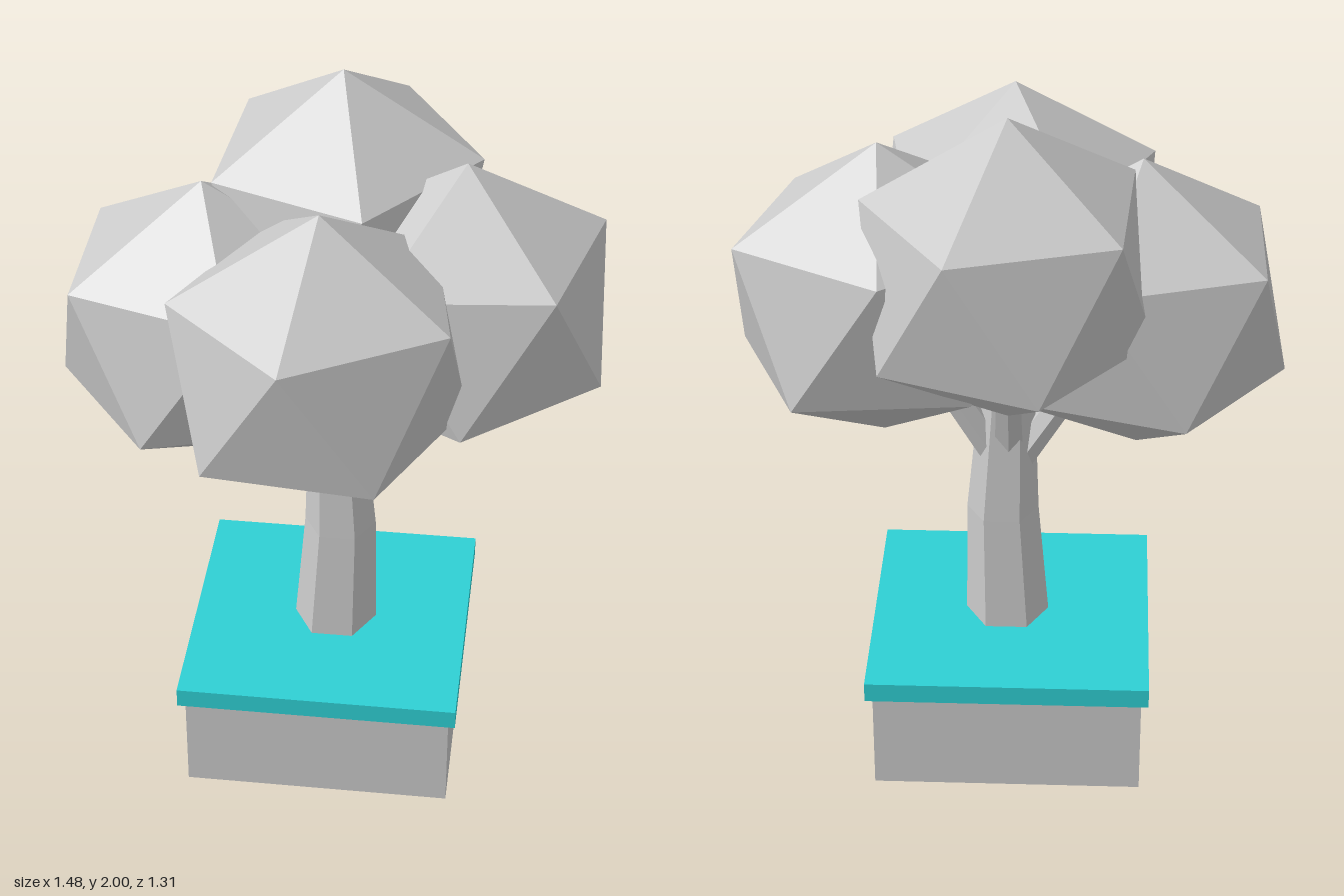
import * as THREE from 'three';

const grey = new THREE.MeshStandardMaterial({ name: 'paleGrey', color: 0xcacaca, flatShading: true });
const teal = new THREE.MeshStandardMaterial({ name: 'teal', color: 0x2ed0d4, flatShading: true });

function addMesh(group, name, geometry, material) {
  const mesh = new THREE.Mesh(geometry, material);
  mesh.name = name;
  group.add(mesh);
  return mesh;
}

// Six-sided trunk: each ring is [y, radius, centre x, centre z]
function trunkGeometry(rings) {
  const geo = new THREE.CylinderGeometry(1, 1, 1, 6, rings.length - 1);
  geo.rotateY(Math.PI / 6);
  const p = geo.attributes.position;
  for (let i = 0; i < p.count; i++) {
    const [y, r, cx, cz] = rings[Math.round((p.getY(i) + 0.5) * (rings.length - 1))];
    p.setXYZ(i, cx + p.getX(i) * r, y, cz + p.getZ(i) * r);
  }
  geo.computeVertexNormals();
  return geo;
}

// Icosahedron standing on a point, slightly longer along x
function crownGeometry(radius) {
  const geo = new THREE.IcosahedronGeometry(radius, 0);
  geo.rotateX(-Math.atan((1 + Math.sqrt(5)) / 2));
  geo.rotateY(Math.PI / 2);
  geo.scale(1.045, 1, 0.99);
  return geo;
}

export function createModel() {
  const tree = new THREE.Group();
  tree.name = 'pottedTree';

  // Planter box and its overhanging lid
  addMesh(tree, 'planter', new THREE.BoxGeometry(0.75, 0.296, 0.75), grey).position.set(0.006, 0.148, -0.015);
  addMesh(tree, 'planterLid', new THREE.BoxGeometry(0.79, 0.057, 0.79), teal).position.set(0.006, 0.3245, -0.015);

  // Gently bent trunk
  addMesh(tree, 'trunk', trunkGeometry([
    [0.35, 0.118, 0.018, -0.015],
    [0.7, 0.101, 0.031, -0.015],
    [1.25, 0.065, 0.012, -0.015],
  ]), grey);

  // Branches reaching into the crowns
  const branches = {
    rightBranch: [[-0.005, 0.85, -0.015], [-0.28, 1.28, -0.015]],
    leftBranch: [[0.05, 0.89, -0.03], [0.28, 1.27, -0.05]],
    frontBranch: [[0.012, 0.91, 0.01], [0.008, 1.25, 0.2]],
    backBranch: [[0.012, 0.92, -0.04], [0.008, 1.3, -0.22]],
  };
  for (const [name, [a, b]] of Object.entries(branches)) {
    const start = new THREE.Vector3(...a);
    const dir = new THREE.Vector3(...b).sub(start);
    const geo = new THREE.CylinderGeometry(0.034, 0.045, dir.length(), 6);
    const branch = addMesh(tree, name, geo, grey);
    branch.position.copy(start).addScaledVector(dir, 0.5);
    branch.quaternion.setFromUnitVectors(new THREE.Vector3(0, 1, 0), dir.normalize());
  }

  // Faceted leaf crowns: [name, x, y, z, turn in degrees]
  const crown = crownGeometry(0.428);
  [
    ['frontCrown', 0.006, 1.447, 0.267, 47],
    ['backCrown', 0.006, 1.572, -0.27, 69],
    ['rightCrown', -0.34, 1.355, -0.02, 0],
    ['leftCrown', 0.353, 1.418, -0.085, 23],
  ].forEach(([name, x, y, z, turn]) => {
    const mesh = addMesh(tree, name, crown, grey);
    mesh.position.set(x, y, z);
    mesh.rotation.y = THREE.MathUtils.degToRad(turn);
  });

  return tree;
}
